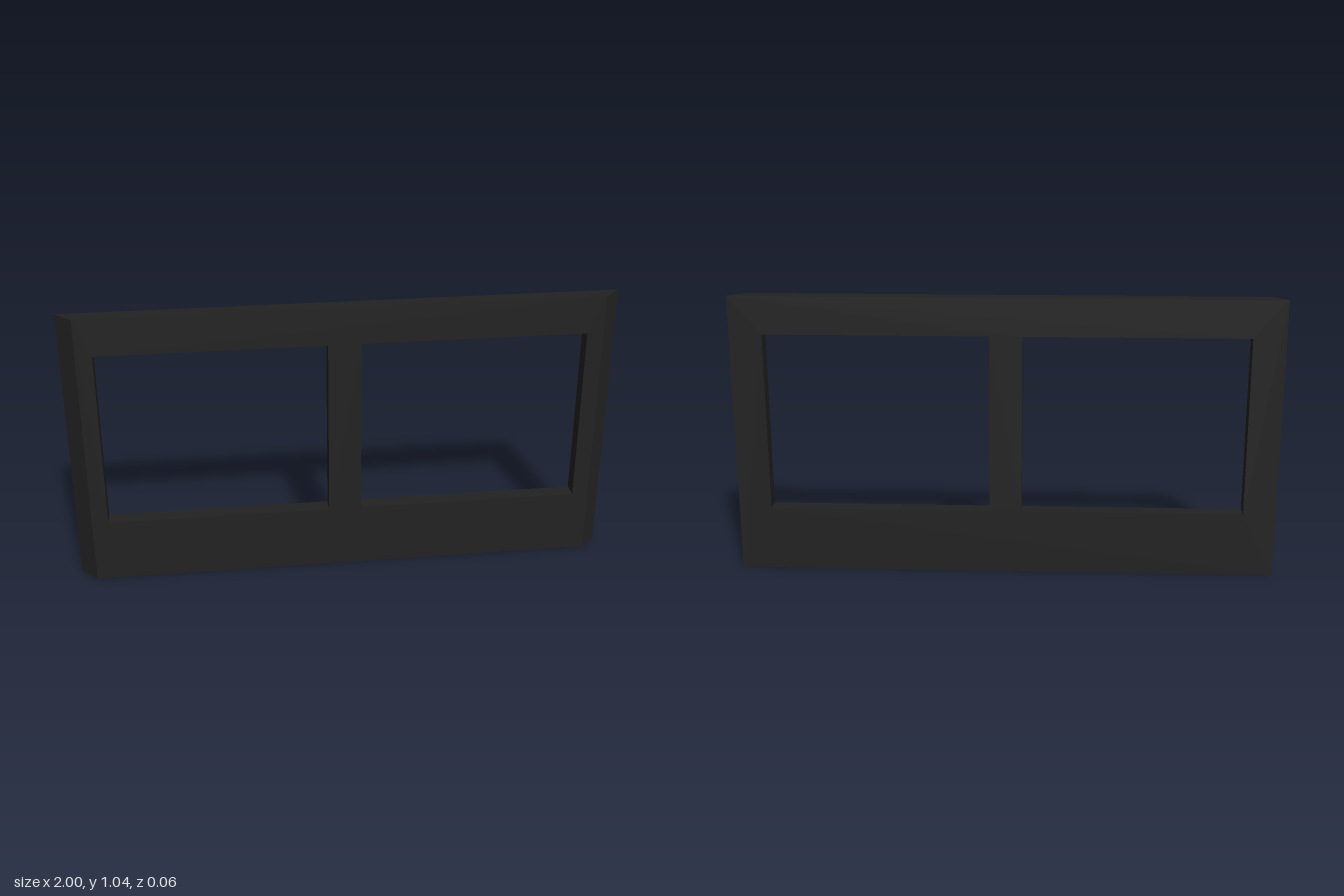
import * as THREE from 'three';

const HEIGHT = 1.045;
const DEPTH = 0.06;
const BACK_HALF = 1;
const FRONT_HALF = 0.94;

// Traces a rectangle onto a Shape or Path
function rectangle(path, x0, y0, x1, y1) {
  path.moveTo(x0, y0);
  path.lineTo(x1, y0);
  path.lineTo(x1, y1);
  path.lineTo(x0, y1);
  path.closePath();
  return path;
}

export function createModel() {
  const group = new THREE.Group();
  group.name = 'windowFrame';

  const black = new THREE.MeshStandardMaterial({ color: 0x222222 });
  black.name = 'matteBlack';

  // Panel outline with two mirrored window openings
  const outline = rectangle(new THREE.Shape(), -BACK_HALF, 0, BACK_HALF, HEIGHT);
  for (const left of [-0.88, 0.06]) {
    outline.holes.push(rectangle(new THREE.Path(), left, 0.24, left + 0.82, 0.905));
  }
  const geometry = new THREE.ExtrudeGeometry(outline, { depth: DEPTH, bevelEnabled: false });
  geometry.translate(0, 0, -DEPTH / 2);

  // Mitre both ends: the front face is narrower than the back
  const position = geometry.attributes.position;
  for (let i = 0; i < position.count; i++) {
    const x = position.getX(i);
    if (position.getZ(i) > 0 && Math.abs(x) > FRONT_HALF) {
      position.setX(i, Math.sign(x) * FRONT_HALF);
    }
  }
  geometry.computeVertexNormals();

  const frame = new THREE.Mesh(geometry, black);
  frame.name = 'mitredFrame';
  group.add(frame);
  return group;
}
